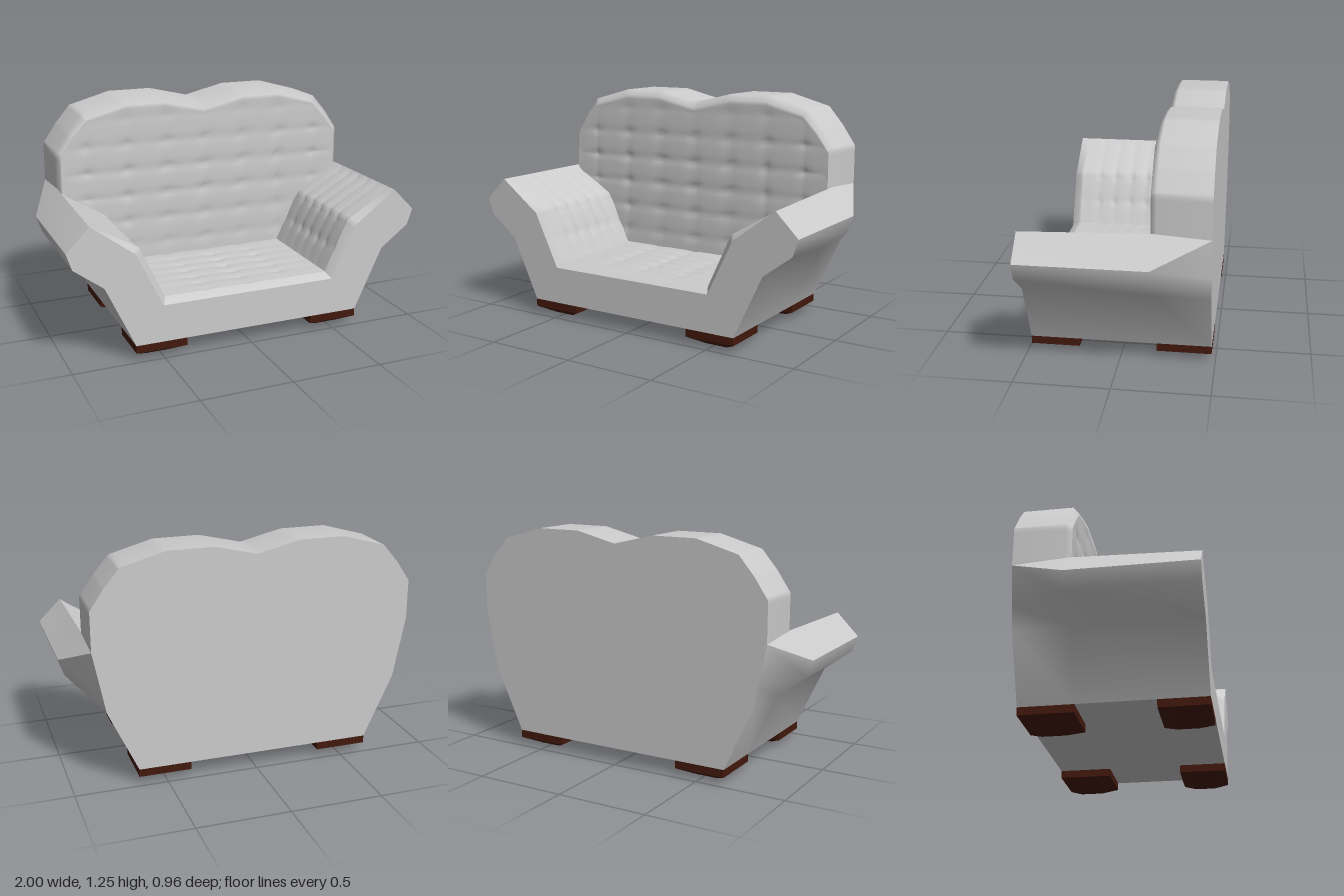
import * as THREE from 'three';
import { toCreasedNormals } from 'three/addons/utils/BufferGeometryUtils.js';

const FRONT = 0.48, BACK = -0.48, REST = -0.18;
const fabric = new THREE.MeshStandardMaterial({ color: 0xcccccc });
const wood = new THREE.MeshStandardMaterial({ color: 0x43190d });

// Half outlines, listed from the outside towards the centre
const bodyFront = [[0.875, 0.765], [1, 0.64], [0.97, 0.55], [0.81, 0.43], [0.65, 0.085]];
const bodyBack = [[0.875, 0.765], [0.875, 0.765], [0.833, 0.55], [0.81, 0.43], [0.65, 0.085]];
const mouth = [[0.875, 0.765], [0.64, 0.59], [0.495, 0.29]];
const lining = [[0.875, 0.765], [0.61, 0.61], [0.475, 0.32]];
const restBottom = [[0.85, 0.755], [0.64, 0.58], [0.49, 0.28]];
const restOuter = [[0.875, 0.765], [0.875, 0.98], [0.8, 1.09], [0.715, 1.19], [0.48, 1.255], [0.23, 1.255], [0, 1.2]];
const restInner = [[0.85, 0.765], [0.85, 0.97], [0.78, 1.07], [0.695, 1.16], [0.47, 1.222], [0.24, 1.222], [0, 1.165]];

// Complete a half outline, running from -x to +x
const full = (half) => [
  ...half.map(([x, y]) => [-x, y]),
  ...half.filter(([x]) => x > 0).reverse(),
];

// Subdivide each segment of a path, keeping its corners
function subdivide(pts, counts) {
  const out = [pts[0]];
  for (let i = 1; i < pts.length; i++) {
    const n = Array.isArray(counts) ? counts[i - 1] : counts;
    for (let k = 1; k <= n; k++) {
      out.push([0, 1].map((c) => THREE.MathUtils.lerp(pts[i - 1][c], pts[i][c], k / n)));
    }
  }
  return out;
}

// Surface over a grid of points given by fn(column, row)
function grid(nu, nv, fn) {
  const pos = [], idx = [];
  for (let j = 0; j < nv; j++) for (let i = 0; i < nu; i++) pos.push(...fn(i, j));
  for (let j = 0; j < nv - 1; j++) {
    for (let i = 0; i < nu - 1; i++) {
      const a = j * nu + i, d = a + nu;
      idx.push(a, a + 1, d + 1, a, d + 1, d);
    }
  }
  const g = new THREE.BufferGeometry();
  g.setAttribute('position', new THREE.Float32BufferAttribute(pos, 3));
  g.setIndex(idx);
  g.computeVertexNormals();
  return g;
}

// Quilting: shallow seams with a deeper button where they cross
function dent(a, b) {
  const sa = (1 - Math.abs(Math.sin(Math.PI * a))) ** 2;
  const sb = (1 - Math.abs(Math.sin(Math.PI * b))) ** 2;
  return 0.004 * sa + 0.005 * sb + 0.012 * sa * sb;
}

const flat = (pts) => new THREE.ShapeGeometry(new THREE.Shape(pts.map(([x, y]) => new THREE.Vector2(x, y))));

export function createModel() {
  const model = new THREE.Group();
  const add = (name, geometry, material = fabric) => {
    const mesh = new THREE.Mesh(geometry, material);
    mesh.name = name;
    model.add(mesh);
    return mesh;
  };

  // Outer body: arms taper in behind the backrest
  const f = full(bodyFront), b = full(bodyBack);
  const rings = [[b, BACK], [f, -0.19], [f, FRONT]];
  add('bodyShell', toCreasedNormals(grid(f.length, 3, (i, j) => {
    const [ring, z] = rings[j];
    const [x, y] = ring[i];
    const lift = j === 1 && (i === 0 || i === f.length - 1) ? 0.02 : 0;
    return [x, y + lift, z];
  }), 0.9));

  // U-shaped front and full back panel
  add('frontPanel', flat([...f, ...full(mouth).reverse().slice(1, -1)])).position.z = FRONT;
  const backPanel = add('backPanel', flat([...full(bodyBack.slice(2)), ...full(restOuter).reverse()]));
  backPanel.rotation.y = Math.PI;
  backPanel.position.z = BACK;

  // Quilted seat and inner arms with a chamfered front edge
  const inner = full(lining), rim = full(mouth);
  const ROWS = 44;
  [['rightArmCushion', 0, 2, [1, -0.6]], ['seatCushion', 2, 3, [0, -1]], ['leftArmCushion', 3, 5, [1, -0.6]]]
    .forEach(([name, from, to, dir]) => {
      const n = name === 'seatCushion' ? 48 : 16;
      const path = subdivide(inner.slice(from, to + 1), n);
      const edge = subdivide(rim.slice(from, to + 1), n);
      add(name, grid(path.length, ROWS, (i, j) => {
        if (j === 0) return [...edge[i], FRONT];
        const t = (j - 1) / (ROWS - 2);
        const z = THREE.MathUtils.lerp(0.44, REST - 0.03, t);
        const [x, y] = path[i];
        const fade = Math.sqrt(Math.max(0, Math.sin(Math.PI * t) * Math.sin(Math.PI * i / (path.length - 1))));
        const d = fade * dent(dir[0] ? y / 0.15 : x / 0.235, (z - 0.02) / 0.1);
        return [x + Math.sign(x) * dir[0] * d, y + dir[1] * d, z];
      }));
    });

  // Quilted backrest, rolling over a bevel into its side wall
  const low = subdivide(full(restBottom), [16, 20, 24, 20, 16]);
  const high = subdivide(full(restInner), 8);
  const wall = subdivide(full(restOuter), 8);
  const N = 44;
  add('backrest', grid(wall.length, N + 3, (i, j) => {
    if (j > N) return [...wall[i], j === N + 1 ? -0.21 : BACK];
    const t = j / N;
    const x = THREE.MathUtils.lerp(low[i][0], high[i][0], t);
    const y = THREE.MathUtils.lerp(low[i][1], high[i][1], t);
    const fade = Math.sqrt(Math.max(0, Math.sin(Math.PI * t) * Math.sin(Math.PI * i / (wall.length - 1))));
    return [x, y, REST - fade * dent(x / 0.235, (y - 0.1) / 0.15)];
  }));

  // Four tapered wooden feet
  for (const side of [-1, 1]) {
    for (const [label, z, depth] of [['front', 0.35, 0.26], ['back', -0.335, 0.29]]) {
      const g = new THREE.BoxGeometry(0.285, 0.085, depth, 1, 2, 1).toNonIndexed();
      const p = g.attributes.position;
      for (let i = 0; i < p.count; i++) {
        if (p.getY(i) < -0.04) p.setXYZ(i, p.getX(i) * 0.43, p.getY(i), p.getZ(i) * 0.43);
      }
      g.computeVertexNormals();
      add(`${label}${side > 0 ? 'Left' : 'Right'}Foot`, g, wood).position.set(side * 0.508, 0.0425, z);
    }
  }
  return model;
}
